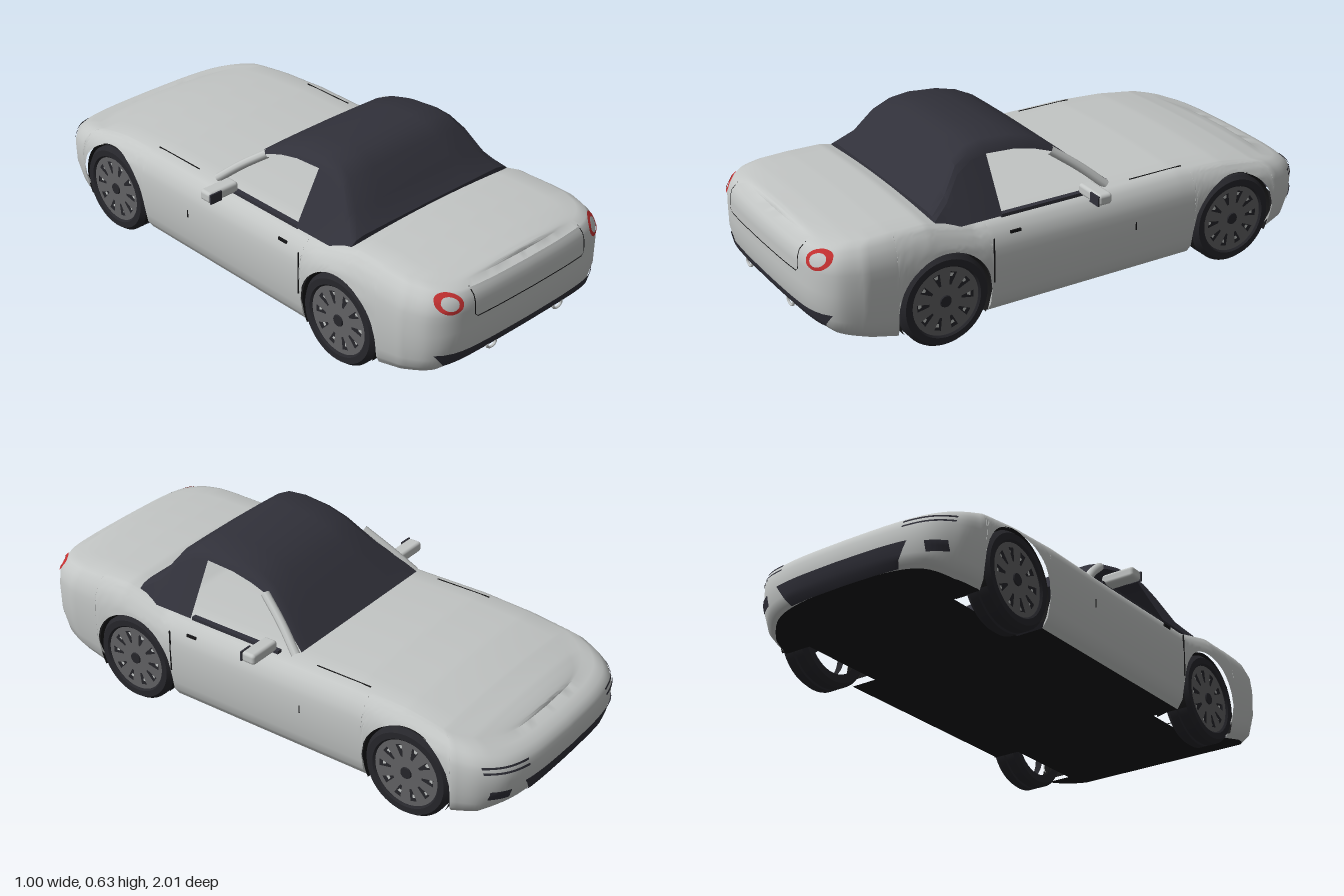
import * as THREE from 'three';
import { toCreasedNormals } from 'three/addons/utils/BufferGeometryUtils.js';
import { RoundedBoxGeometry } from 'three/addons/geometries/RoundedBoxGeometry.js';

const mat = (name, color, side = THREE.FrontSide) => {
  const m = new THREE.MeshStandardMaterial({ color, side });
  m.name = name;
  return m;
};
const paint = mat('silver paint', 0xc3c6c5);
const fabric = mat('dark fabric', 0x31313a, THREE.DoubleSide);
const black = mat('black underside', 0x161617, THREE.DoubleSide);
const rubber = mat('tyre rubber', 0x26262b);
const rimGrey = mat('rim grey', 0x626264);
const red = mat('lamp red', 0xc43030, THREE.DoubleSide);

// Piecewise interpolation; each row is [position, value...]
function at(table, v, k = 1) {
  if (v <= table[0][0]) return table[0][k];
  for (let i = 1; i < table.length; i++) {
    const a = table[i - 1], b = table[i];
    if (v <= b[0]) return a[k] + (b[k] - a[k]) * (v - a[0]) / (b[0] - a[0]);
  }
  return table[table.length - 1][k];
}

// Grid surface from fn(i, j) -> [x, y, z]
function grid(nu, nv, fn) {
  const pos = [], idx = [];
  for (let i = 0; i <= nu; i++) for (let j = 0; j <= nv; j++) pos.push(...fn(i, j));
  for (let i = 0; i < nu; i++) for (let j = 0; j < nv; j++) {
    const a = i * (nv + 1) + j, b = a + nv + 1;
    idx.push(a, a + 1, b, b, a + 1, b + 1);
  }
  const g = new THREE.BufferGeometry();
  g.setAttribute('position', new THREE.Float32BufferAttribute(pos, 3));
  g.setIndex(idx);
  g.computeVertexNormals();
  return g;
}

// Body rules: floor height, shoulder height, and side profile [t, width factor, nose inset, tail inset]
const FLOOR = [[-1, 0.13], [-0.9, 0.085], [-0.8, 0.07], [0.72, 0.07], [0.95, 0.12], [1, 0.15]];
const TOP = [[-1, 0.31], [-0.92, 0.335], [-0.8, 0.357], [-0.6, 0.38], [-0.4, 0.392], [-0.1, 0.39],
  [0.42, 0.395], [0.52, 0.42], [0.6, 0.44], [0.75, 0.442], [0.9, 0.438], [1, 0.43]];
const PROFILE = [[0, 0.91, 0.03, 0.04], [0.1, 0.96, 0.012, 0.015], [0.35, 0.993, 0, 0], [0.65, 1, 0, 0],
  [0.8, 0.985, 0.01, 0], [0.9, 0.95, 0.03, 0.008], [0.97, 0.905, 0.06, 0.02], [1, 0.86, 0.1, 0.05]];
const AXLES = [-0.63, 0.55], HUB = 0.165, ARCH = 0.175;

const spline = pts => new THREE.SplineCurve(pts.map(p => new THREE.Vector2(...p))).getPoints(24);
const nose = spline([[0, -1], [0.2, -0.993], [0.33, -0.965], [0.405, -0.9], [0.435, -0.83]]);
const tail = spline([[0, 1], [0.2, 0.996], [0.33, 0.98], [0.405, 0.93], [0.437, 0.85]]);
const flank = [];
for (let z = -0.815; z < 0.84; z += 0.0125) flank.push(z);
for (const a of AXLES) for (const d of [ARCH, ARCH + 0.0005]) flank.push(a - d, a + d);
flank.sort((a, b) => a - b);
const outline = [...nose, ...flank.map(z => new THREE.Vector2(0.44, z)), ...tail.slice().reverse()];

function inset(z, t) {
  const e = THREE.MathUtils.smoothstep(Math.abs(z), 0.55, 1);
  return z - Math.sign(z) * e * at(PROFILE, t, z < 0 ? 2 : 3);
}
function sillY(z) {
  for (const a of AXLES) {
    const d = Math.abs(z - a);
    if (d <= ARCH + 0.0001) return HUB + Math.sqrt(Math.max(0, ARCH * ARCH - d * d));
  }
  return at(FLOOR, z);
}
function sidePoint(p, f) {
  const lo = at(FLOOR, p.y), hi = at(TOP, p.y), sill = sillY(p.y);
  const y = sill + (hi - sill) * f, t = (y - lo) / (hi - lo);
  return [p.x * at(PROFILE, t), y, inset(p.y, t)];
}
// Depth of the nose (sign -1) or tail (sign 1) surface at x, y
function endZ(x, y, sign) {
  const table = (sign < 0 ? nose : tail).map(p => [p.x, p.y]);
  let z = sign, t = 0;
  for (let k = 0; k < 3; k++) {
    t = THREE.MathUtils.clamp((y - at(FLOOR, z)) / (at(TOP, z) - at(FLOOR, z)), 0, 1);
    z = at(table, Math.abs(x) / at(PROFILE, t));
  }
  return inset(z, t) + sign * 0.005;
}

export function createModel() {
  const car = new THREE.Group();
  car.name = 'convertible';
  const add = (name, geo, m, parent = car) => {
    const mesh = new THREE.Mesh(geo, m);
    mesh.name = name;
    parent.add(mesh);
    return mesh;
  };
  const box = (name, w, h, d, x, y, z, m) => add(name, new THREE.BoxGeometry(w, h, d), m).position.set(x, y, z);

  // Body shell: one flank, across the top, down the other flank
  const rows = [0, 0.05, 0.1, 0.2, 0.35, 0.5, 0.65, 0.73, 0.8, 0.86, 0.9, 0.94, 0.97, 1];
  const R = rows.length - 1, C = 10, N = outline.length - 1;
  add('bodyShell', toCreasedNormals(grid(N, 2 * R + C, (i, j) => {
    if (j <= R) return sidePoint(outline[i], rows[j]);
    if (j >= R + C) {
      const [x, y, z] = sidePoint(outline[i], rows[2 * R + C - j]);
      return [-x, y, z];
    }
    const [x, y, z] = sidePoint(outline[i], 1), s = 1 - 2 * (j - R) / C;
    return [x * s, y + 0.014 * (1 - s * s) * Math.min(1, x / 0.3), z];
  }), 0.7), paint);

  // Floor, narrowed between the wheels
  add('floor', grid(N, 1, (i, j) => {
    const p = outline[i], inArch = AXLES.some(a => Math.abs(p.y - a) <= ARCH + 0.0001);
    const x = inArch ? 0.3 : p.x * PROFILE[0][1];
    return [j ? x : -x, at(FLOOR, p.y), inset(p.y, 0)];
  }), black);

  // Soft top and windscreen: [z, roof height, half width, edge drop]
  const roof = [[-0.14, 0.405, 0.345, 0], [-0.04, 0.487, 0.312, 0.012], [0.05, 0.562, 0.283, 0.03],
    [0.12, 0.598, 0.284, 0.04], [0.2, 0.619, 0.286, 0.042], [0.31, 0.629, 0.288, 0.044],
    [0.37, 0.621, 0.292, 0.044], [0.43, 0.588, 0.305, 0.044], [0.49, 0.505, 0.34, 0.035],
    [0.555, 0.452, 0.375, 0.02], [0.56, 0.415, 0.385, 0.005]];
  const across = [[-1, 1], [-0.95, 0.45], [-0.86, 0.12], [-0.5, 0.04], [0, 0],
    [0.5, 0.04], [0.86, 0.12], [0.95, 0.45], [1, 1]];
  add('softTop', toCreasedNormals(grid(roof.length - 1, 8, (i, j) => {
    const [z, y, w, drop] = roof[i], [s, d] = across[j];
    return [s * w, y - d * drop, z];
  }), 0.7), fabric);

  for (const s of [1, -1]) {
    const quarter = roof.slice(5);
    add('softTopQuarter', grid(quarter.length - 1, 2, (i, j) => {
      const [z, y, w, drop] = quarter[i], f = j / 2, top = y - drop;
      return [s * (w + (0.392 - w) * f), top + (0.4 - top) * f, z];
    }), fabric);

    // Windscreen pillar and window seal
    const path = new THREE.CatmullRomCurve3([[0.357, 0.395, -0.125], [0.322, 0.468, -0.04], [0.288, 0.54, 0.058]]
      .map(([x, y, z]) => new THREE.Vector3(s * x, y, z)));
    add('windscreenPillar', new THREE.TubeGeometry(path, 10, 0.016, 8), paint);
    box('windowSeal', 0.02, 0.012, 0.38, s * 0.376, 0.397, 0.12, fabric);

    // Door mirror
    const shell = add('doorMirror', new RoundedBoxGeometry(0.13, 0.04, 0.055, 3, 0.012), paint);
    shell.position.set(s * 0.434, 0.415, -0.03);
    box('mirrorGlass', 0.05, 0.036, 0.006, s * 0.474, 0.415, -0.001, fabric);

    // Shut lines and door handle
    box('doorLine', 0.004, 0.16, 0.004, s * 0.439, 0.27, 0.37, black);
    box('doorFrontLine', 0.004, 0.03, 0.004, s * 0.439, 0.25, -0.2, black);
    box('doorHandle', 0.006, 0.01, 0.04, s * 0.426, 0.352, 0.28, black);
    box('bonnetLine', 0.004, 0.004, 0.22, s * 0.363, 0.392, -0.33, black);
  }

  // Thin panels that follow the nose or tail; fn(u, v) -> [x, y]
  const decal = (name, sign, m, nu, nv, fn) => add(name, grid(nu, nv, (i, j) => {
    const [x, y] = fn(i / nu, j / nv);
    return [x, y, endZ(x, y, sign)];
  }), m);
  const patch = (name, sign, m, x0, x1, y0, y1, taper = 0) => decal(name, sign, m, 28, 4, (u, v) => {
    const k = 1 - taper * (1 - v);
    return [(x0 + (x1 - x0) * u) * k, y0 + (y1 - y0) * v];
  });
  patch('rearBumperInsert', 1, fabric, -0.39, 0.39, 0.152, 0.205, 0.1);
  patch('bootLineLower', 1, black, -0.253, 0.253, 0.323, 0.327);
  patch('frontGrille', -1, fabric, -0.27, 0.27, 0.125, 0.2, 0.18);
  for (const s of [1, -1]) {
    patch('bootLineSide', 1, black, s * 0.263, s * 0.267, 0.337, 0.425);
    decal('bootLineCorner', 1, black, 6, 1, (u, v) => [s * (0.252 + 0.013 * u + 0.003 * v), 0.325 + 0.013 * u]);
    patch('frontIntake', -1, fabric, s * 0.325, s * 0.385, 0.155, 0.19);
    for (const y of [0.25, 0.268])
      decal('headlampSlit', -1, fabric, 12, 2, (u, v) => [s * (0.25 + 0.15 * u), y + 0.008 * u + 0.007 * v]);
    decal('tailLamp', 1, red, 32, 2, (u, v) => {
      const a = u * Math.PI * 2, k = 0.64 + 0.36 * v;
      return [s * 0.347 + Math.cos(a) * 0.04 * k, 0.392 + Math.sin(a) * 0.033 * k];
    });
    const pipe = add('exhaustTip', new THREE.TorusGeometry(0.021, 0.005, 8, 24), paint);
    pipe.scale.y = 0.75;
    pipe.position.set(s * 0.163, 0.171, endZ(0.163, 0.171, 1));
  }

  // Wheels
  const tyreProfile = [[0.122, -0.048], [0.152, -0.052], [0.165, -0.036], [0.165, -0.006], [0.157, -0.004],
    [0.157, 0.004], [0.165, 0.006], [0.165, 0.036], [0.152, 0.052], [0.13, 0.052], [0.124, 0.046], [0.122, 0.015]];
  const tyre = toCreasedNormals(new THREE.LatheGeometry(tyreProfile.map(p => new THREE.Vector2(...p)), 48), 0.6)
    .rotateZ(-Math.PI / 2);
  const wedge = (P, a, r0, r1, w0, w1) => {
    const c = Math.cos(a), n = Math.sin(a), shape = new P();
    [[r0, -w0], [r1, -w1], [r1, w1], [r0, w0]].forEach(([r, w], k) =>
      shape[k ? 'lineTo' : 'moveTo'](c * r - n * w, n * r + c * w));
    shape.closePath();
    return shape;
  };
  const face = new THREE.Shape().absarc(0, 0, 0.125, 0, Math.PI * 2);
  const chips = [];
  for (let k = 0; k < 10; k++) {
    const a = k * Math.PI / 5;
    face.holes.push(wedge(THREE.Path, a, 0.06, 0.106, 0.004, 0.013));
    chips.push(wedge(THREE.Shape, a, 0.086, 0.098, 0.004, 0.008));
  }
  const faceOn = (shape, x) => new THREE.ShapeGeometry(shape, 24).rotateY(Math.PI / 2).translate(x, 0, 0);
  for (const z of AXLES) for (const s of [1, -1]) {
    const wheel = new THREE.Group();
    wheel.name = 'wheel';
    wheel.position.set(s * 0.383, HUB, z);
    wheel.rotation.y = s > 0 ? 0 : Math.PI;
    car.add(wheel);
    add('tyre', tyre, rubber, wheel);
    add('rim', faceOn(face, 0.044), rimGrey, wheel);
    add('rimBack', new THREE.CircleGeometry(0.124, 32).rotateY(Math.PI / 2).translate(0.03, 0, 0), rubber, wheel);
    add('rimChips', faceOn(chips, 0.036), paint, wheel);
    add('hubCap', new THREE.CylinderGeometry(0.02, 0.022, 0.006, 20).rotateZ(-Math.PI / 2).translate(0.046, 0, 0), rubber, wheel);
    // Wheel well
    add('archLiner', new THREE.CylinderGeometry(ARCH, ARCH, 0.125, 32, 1, true, -0.5, Math.PI + 1)
      .rotateZ(Math.PI / 2).translate(-0.02, 0, 0), black, wheel);
    add('archWall', new THREE.CircleGeometry(ARCH, 32, -0.55, Math.PI + 1.1)
      .rotateY(Math.PI / 2).translate(-0.083, 0, 0), black, wheel);
  }
  return car;
}
